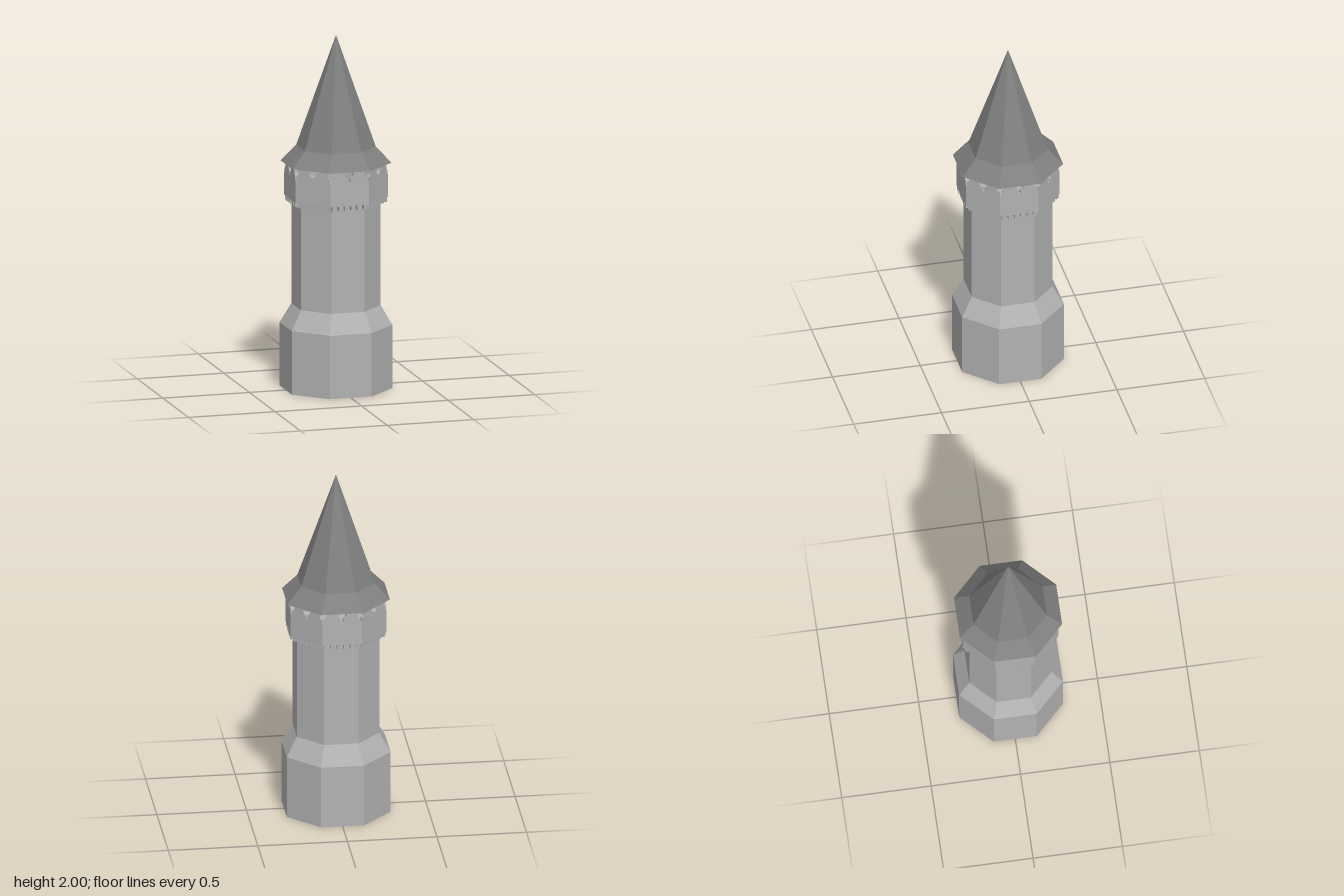
import * as THREE from 'three';

const SIDES = 8;
const HALF = Math.PI / SIDES;

// Faceted octagonal solid with flats facing the axes; profile is [apothem, y] from bottom to top
function octagon(profile, material, name) {
  const points = profile.map(([a, y]) => new THREE.Vector2(a / Math.cos(HALF), y));
  const geometry = new THREE.LatheGeometry(points, SIDES, HALF).toNonIndexed();
  geometry.computeVertexNormals();
  const mesh = new THREE.Mesh(geometry, material);
  mesh.name = name;
  return mesh;
}

// One mitred side of the parapet, notched along its top edge
function parapetPanel(apothem, thickness, y0, y1) {
  const w = apothem * Math.tan(HALF);
  const right = [
    [0.005, y1 - 0.066], [0.008, y1 - 0.045], [0.022, y1 - 0.03], [0.027, y1],
    [w - 0.027, y1], [w - 0.022, y1 - 0.03], [w - 0.008, y1 - 0.045], [w - 0.005, y1 - 0.066],
    [w, y1 - 0.066], [w, y0],
  ];
  const left = right.map(([x, y]) => [-x, y]).reverse();
  const shape = new THREE.Shape([...left, ...right].map(([x, y]) => new THREE.Vector2(x, y)));
  const geometry = new THREE.ExtrudeGeometry(shape, { depth: thickness, bevelEnabled: false });
  geometry.translate(0, 0, apothem - thickness);
  const p = geometry.attributes.position;
  for (let i = 0; i < p.count; i++) p.setX(i, p.getX(i) * p.getZ(i) / apothem);
  geometry.computeVertexNormals();
  return geometry;
}

export function createModel() {
  const stone = new THREE.MeshStandardMaterial({ color: 0xb2b2b2 });
  stone.name = 'light stone';
  const slate = new THREE.MeshStandardMaterial({ color: 0x808080 });
  slate.name = 'grey slate';

  const tower = new THREE.Group();
  tower.name = 'tower';

  // Wide base, sloped shoulder, shaft and the walkway floor
  tower.add(octagon([[0, 0], [0.29, 0], [0.29, 0.36], [0.23, 0.47], [0.23, 1.1], [0, 1.1]], stone, 'shaft'));
  tower.add(octagon([[0, 1.09], [0.255, 1.09], [0.255, 1.108], [0, 1.108]], stone, 'walkway'));

  // Parapet sides, each with a row of small brackets below
  const panel = parapetPanel(0.267, 0.025, 1.085, 1.282);
  const bracket = new THREE.BoxGeometry(0.016, 0.035, 0.042);
  const foot = new THREE.BoxGeometry(0.01, 0.018, 0.024);
  for (let i = 0; i < SIDES; i++) {
    const side = new THREE.Group();
    side.name = 'parapetSide';
    side.rotation.y = i * 2 * HALF;
    const wall = new THREE.Mesh(panel, stone);
    wall.name = 'parapetWall';
    side.add(wall);
    for (let j = 0; j < 6; j++) {
      const x = (j - 2.5) * 0.036;
      const block = new THREE.Mesh(bracket, stone);
      block.name = 'bracket';
      block.position.set(x, 1.078, 0.246);
      const tip = new THREE.Mesh(foot, stone);
      tip.name = 'bracketTip';
      tip.position.set(x, 1.063, 0.24);
      side.add(block, tip);
    }
    tower.add(side);
  }

  // Flared spire roof
  tower.add(octagon([[0, 1.28], [0.286, 1.28], [0.205, 1.37], [0, 2]], slate, 'roof'));
  return tower;
}
